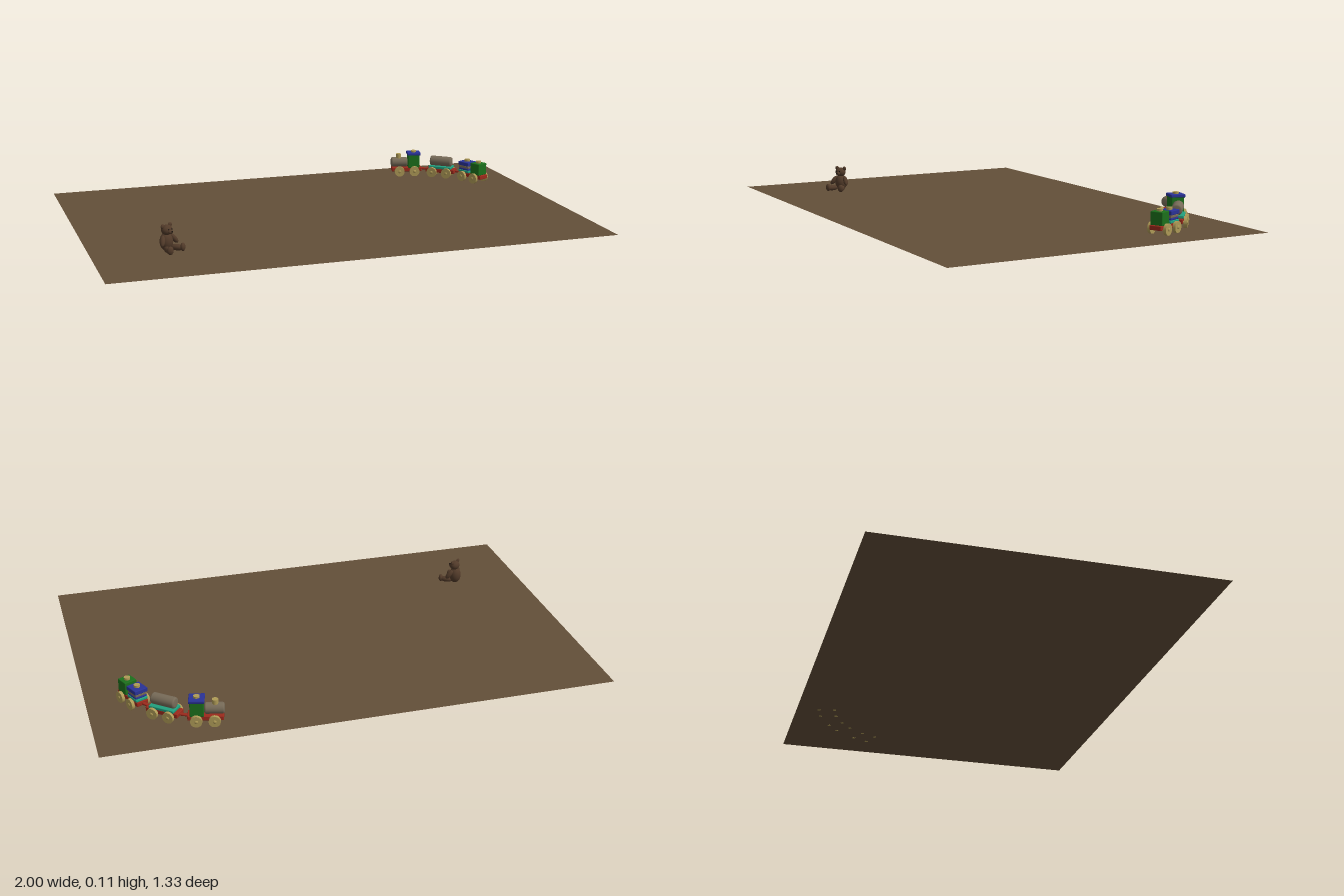
import * as THREE from 'three';
import { RoundedBoxGeometry } from 'three/addons/geometries/RoundedBoxGeometry.js';

const paint = (name, color, extra = {}) => {
  const m = new THREE.MeshStandardMaterial({ color, ...extra });
  m.name = name;
  return m;
};

export function createModel() {
  const floorBrown = paint('floorBrown', 0x634f39, { side: THREE.DoubleSide });
  const fur = paint('fur', 0x513a29);
  const dark = paint('dark', 0x17110d);
  const red = paint('red', 0x9c2a1c);
  const green = paint('green', 0x1c701c);
  const blue = paint('blue', 0x2a3296);
  const teal = paint('teal', 0x22a07e);
  const grey = paint('warmGrey', 0x776b58);
  const wood = paint('paleWood', 0xae9a56);

  const model = new THREE.Group();
  const add = (parent, name, geo, mat, x = 0, y = 0, z = 0) => {
    const mesh = new THREE.Mesh(geo, mat);
    mesh.name = name;
    mesh.position.set(x, y, z);
    parent.add(mesh);
    return mesh;
  };
  const group = (name, x, z, turn) => {
    const g = new THREE.Group();
    g.name = name;
    g.position.set(x, 0, z);
    g.rotation.y = turn;
    model.add(g);
    return g;
  };
  const block = (w, h, d) => new RoundedBoxGeometry(w, h, d, 2, 0.003);
  const disc = (r, h) => new THREE.CylinderGeometry(r, r, h, 24);

  // Floor
  add(model, 'floor', new THREE.PlaneGeometry(2, 1.333).rotateX(-Math.PI / 2), floorBrown, 0, 0.001, 0);

  // Barrel lying along x with rounded ends
  const barrel = (r, length) => {
    const h = length / 2, e = 0.007;
    const pts = [[0.0001, -h], [r - e, -h], [r - e * 0.3, -h + e * 0.3], [r, -h + e],
      [r, h - e], [r - e * 0.3, h - e * 0.3], [r - e, h], [0.0001, h]];
    return new THREE.LatheGeometry(pts.map(p => new THREE.Vector2(...p)), 28).rotateZ(Math.PI / 2);
  };

  // Rolling base of a carriage, front towards -x
  const carriage = (name, x, z, turn) => {
    const car = group(name, x, z, turn);
    add(car, 'chassis', block(0.135, 0.018, 0.05), red, 0, 0.029, 0);
    for (const ax of [-0.034, 0.034]) {
      add(car, 'axle', disc(0.005, 0.07).rotateX(Math.PI / 2), wood, ax, 0.0225, 0);
      for (const s of [-1, 1]) {
        add(car, 'wheel', disc(0.0225, 0.012).rotateX(Math.PI / 2), wood, ax, 0.0225, s * 0.034);
        add(car, 'hub', new THREE.SphereGeometry(0.007, 12, 8).scale(1, 1, 0.5), wood, ax, 0.0225, s * 0.04);
      }
    }
    return car;
  };

  // Engine
  const engine = carriage('engine', 0.585, -0.53, -0.25);
  add(engine, 'boiler', barrel(0.022, 0.075), grey, -0.033, 0.06, 0);
  add(engine, 'chimney', disc(0.012, 0.022), wood, -0.036, 0.087, 0);
  add(engine, 'cab', block(0.052, 0.06, 0.052), green, 0.032, 0.066, 0);
  add(engine, 'roof', block(0.06, 0.012, 0.06), blue, 0.032, 0.1, 0);
  add(engine, 'roofPeg', disc(0.012, 0.008), wood, 0.032, 0.109, 0);

  // Tank carriage
  const tanker = carriage('tanker', 0.725, -0.452, -0.7);
  add(tanker, 'saddle', block(0.105, 0.012, 0.056), teal, 0, 0.044, 0);
  add(tanker, 'tank', barrel(0.022, 0.1), grey, 0, 0.07, 0);

  // Last carriage
  const caboose = carriage('caboose', 0.823, -0.322, -1.15);
  add(caboose, 'tealBlock', block(0.062, 0.011, 0.052), teal, -0.033, 0.043, 0);
  add(caboose, 'lowerBlueBlock', block(0.055, 0.009, 0.05), blue, -0.033, 0.053, 0);
  add(caboose, 'greyBlock', block(0.055, 0.012, 0.05), grey, -0.033, 0.063, 0);
  add(caboose, 'upperBlueBlock', block(0.06, 0.017, 0.056), blue, -0.033, 0.077, 0);
  add(caboose, 'blockPeg', disc(0.012, 0.01), wood, -0.033, 0.09, 0);
  add(caboose, 'greenBlock', block(0.05, 0.052, 0.052), green, 0.034, 0.063, 0);
  add(caboose, 'endPeg', disc(0.012, 0.009), wood, 0.034, 0.093, 0);

  // Couplings between carriages
  for (const [x, z, turn] of [[0.663, -0.504, -0.5], [0.785, -0.396, -0.95]]) {
    add(group('coupling', x, z, turn), 'couplingBar', block(0.034, 0.008, 0.014), red, 0, 0.029, 0);
  }

  // Seated bear, facing its own +z
  const bear = group('bear', -0.71, 0.335, 0.58);
  const blob = (name, mat, [x, y, z], [rx, ry, rz], rot = [0, 0, 0]) => {
    const m = add(bear, name, new THREE.SphereGeometry(1, 20, 14).scale(rx, ry, rz), mat, x, y, z);
    m.rotation.set(...rot);
  };
  blob('body', fur, [0, 0.036, -0.006], [0.026, 0.035, 0.025]);
  blob('head', fur, [0, 0.082, -0.002], [0.023, 0.02, 0.02]);
  blob('muzzle', fur, [0, 0.077, 0.017], [0.01, 0.008, 0.009]);
  blob('nose', dark, [0, 0.08, 0.026], [0.004, 0.003, 0.0025]);
  for (const s of [-1, 1]) {
    blob('ear', fur, [s * 0.019, 0.098, -0.004], [0.009, 0.009, 0.005]);
    blob('eye', dark, [s * 0.008, 0.087, 0.0165], [0.0025, 0.0025, 0.002]);
    blob('arm', fur, [s * 0.03, 0.045, 0.004], [0.01, 0.023, 0.011], [-0.45, 0, s * 0.5]);
    blob('leg', fur, [s * 0.024, 0.014, 0.026], [0.012, 0.012, 0.029], [0, s * 0.4, 0]);
    blob('foot', fur, [s * 0.033, 0.017, 0.047], [0.013, 0.016, 0.009], [0, s * 0.4, 0]);
  }
  return model;
}
